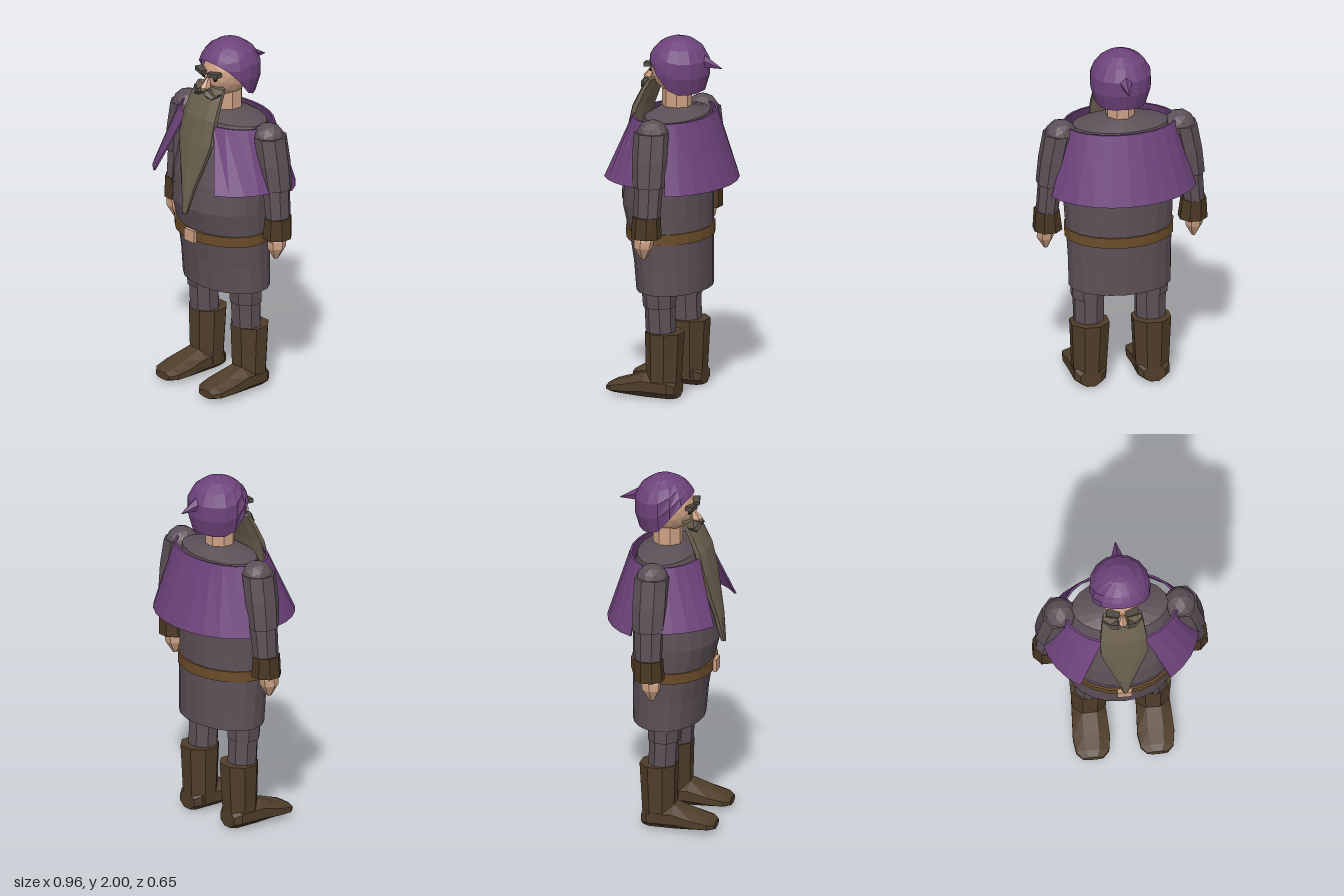
import * as THREE from 'three';

const mat = (name, color) => {
  const m = new THREE.MeshStandardMaterial({ color, flatShading: true, side: THREE.DoubleSide });
  m.name = name;
  return m;
};

// Closed loop of points around an axis; a and b are the half extents
function ring(axis, x, y, z, a, b, n = 8, half = true) {
  const k = half ? 1 / Math.cos(Math.PI / n) : 1;
  return Array.from({ length: n }, (_, i) => {
    const t = ((i + (half ? 0.5 : 0)) / n) * Math.PI * 2;
    const s = Math.sin(t) * k, c = Math.cos(t) * k;
    if (axis === 'y') return [x + a * s, y, z + b * c];
    if (axis === 'z') return [x - a * s, y + b * c, z];
    return [x, y + a * c, z + b * s];
  });
}

// Skin a list of equal loops, with optional end caps
function loft(rings, caps = true) {
  const n = rings[0].length, pos = rings.flat(2), idx = [];
  for (let i = 0; i < rings.length - 1; i++)
    for (let j = 0; j < n; j++) {
      const p = i * n + j, q = i * n + ((j + 1) % n);
      idx.push(p, q, q + n, p, q + n, p + n);
    }
  if (caps) {
    const e = (rings.length - 1) * n;
    for (let j = 1; j < n - 1; j++) idx.push(0, j + 1, j, e, e + j, e + j + 1);
  }
  const g = new THREE.BufferGeometry();
  g.setAttribute('position', new THREE.Float32BufferAttribute(pos, 3));
  g.setIndex(idx);
  const flat = g.toNonIndexed();
  flat.computeVertexNormals();
  return flat;
}

// Vertical loft from rows of [y, half width, front z, back z]
const upright = (rows, n, half = false, x = 0) =>
  loft(rows.map(([y, rx, f, b]) => ring('y', x, y, (f + b) / 2, rx, (f - b) / 2, n, half)));

// Limb from rows of [x, y, z, half width, half depth], bottom to top
const limb = (s, rows, n = 8) => loft(rows.map(([x, y, z, a, b]) => ring('y', s * x, y, z, a, b, n)));

// Curved, flared cloth slab; angles in degrees measured from the front
function cape(topRange, lowRange, top, low, steps) {
  const sections = [];
  for (let i = 0; i <= steps; i++) {
    const at = (r) => THREE.MathUtils.degToRad(r[0] + ((r[1] - r[0]) * i) / steps);
    const p = ([rx, y, rz], a, d) => [(rx - d) * Math.sin(a), y, (rz - d) * Math.cos(a)];
    const a = at(topRange), b = at(lowRange);
    sections.push([p(top, a, 0), p(low, b, 0), p(low, b, 0.012), p(top, a, 0.012)]);
  }
  return loft(sections);
}

// Hood: sphere-like shell whose lower edge rises over the face
function hoodGeometry() {
  const edge = [1.9, 1.893, 1.865, 1.8, 1.72, 1.695, 1.695, 1.7, 1.705];
  const n = 16, rows = 5, rings = [];
  for (let k = 0; k <= rows; k++) {
    rings.push(Array.from({ length: n }, (_, j) => {
      const a = (j / n) * Math.PI * 2;
      const e = edge[Math.min(j, n - j)];
      const y = e + (2 - e) * Math.sin((k / rows) * Math.PI / 2);
      const d = y - 1.84;
      const r = d > 0 ? 0.172 * Math.sqrt(Math.max(0, 1 - (d / 0.16) ** 2)) : 0.172 * (1 - 9 * d * d);
      return [r * Math.sin(a), y, -0.02 + r * Math.cos(a)];
    }));
  }
  return loft(rings, false);
}

export function createModel() {
  const model = new THREE.Group();
  model.name = 'beardedFigure';
  const cloth = mat('greyCloth', 0x5c5057);
  const purple = mat('purpleCloth', 0x6e437b);
  const boot = mat('bootLeather', 0x4f3d2a);
  const cuffBrown = mat('cuffLeather', 0x4a3722);
  const leather = mat('beltLeather', 0x6c4d2a);
  const skin = mat('skin', 0xcda084);
  const hair = mat('beardHair', 0x6a5f4e);
  const darkHair = mat('browHair', 0x4f4a40);
  const black = mat('eyeBlack', 0x15120f);

  const add = (name, geometry, material, x = 0, y = 0, z = 0) => {
    const m = new THREE.Mesh(geometry, material);
    m.name = name;
    m.position.set(x, y, z);
    model.add(m);
    return m;
  };

  // Tunic and belt
  add('tunic', upright([
    [0.59, 0.285, 0.2, -0.19], [0.75, 0.287, 0.215, -0.19], [0.9, 0.295, 0.24, -0.19],
    [0.95, 0.298, 0.255, -0.19], [1.07, 0.305, 0.285, -0.19], [1.22, 0.302, 0.27, -0.19],
    [1.4, 0.29, 0.22, -0.185], [1.5, 0.28, 0.18, -0.18], [1.565, 0.265, 0.15, -0.165],
    [1.61, 0.08, 0.075, -0.085],
  ], 20), cloth);
  add('belt', upright([[0.88, 0.303, 0.262, -0.2], [0.94, 0.305, 0.266, -0.2]], 20), leather);
  add('buckle', new THREE.BoxGeometry(0.08, 0.07, 0.02), skin, 0, 0.91, 0.27);

  // Cape: back piece and two front panels
  add('backCape', cape([110, 250], [110, 250], [0.315, 1.57, 0.205], [0.43, 1.19, 0.33], 10), purple);
  add('leftFrontCape', cape([22, 76], [35, 82], [0.315, 1.57, 0.22], [0.435, 1.23, 0.39], 4), purple);
  add('rightFrontCape', cape([-76, -22], [-82, -35], [0.315, 1.57, 0.22], [0.435, 1.23, 0.39], 4), purple);

  // Head, hood and nose
  add('neck', limb(1, [[0, 1.56, -0.005, 0.075, 0.077], [0, 1.74, -0.005, 0.075, 0.077]]), skin);
  const head = new THREE.IcosahedronGeometry(1, 2);
  head.scale(0.123, 0.14, 0.143);
  add('head', head, skin, 0, 1.82, 0);
  add('hood', hoodGeometry(), purple);
  add('hoodPoint', loft([
    ring('z', 0, 1.84, -0.275, 0.002, 0.002, 5, false),
    ring('z', 0, 1.865, -0.19, 0.03, 0.03, 5, false),
    ring('z', 0, 1.88, -0.13, 0.05, 0.05, 5, false),
  ]), purple);
  add('nose', loft([
    ring('y', 0, 1.735, 0.155, 0.018, 0.03, 6, false),
    ring('y', 0, 1.76, 0.16, 0.026, 0.036, 6, false),
    ring('y', 0, 1.81, 0.138, 0.007, 0.012, 6, false),
  ]), skin);

  // Beard and moustache
  add('beard', upright([
    [1.05, 0.015, 0.325, 0.295], [1.21, 0.055, 0.312, 0.25], [1.32, 0.092, 0.292, 0.22],
    [1.46, 0.135, 0.268, 0.185], [1.6, 0.133, 0.235, 0.15], [1.7, 0.122, 0.185, 0.11],
    [1.76, 0.11, 0.142, 0.085],
  ], 10), hair);
  add('moustache', loft([[-0.105, 1.735, 0.005], [-0.07, 1.708, 0.017], [-0.03, 1.73, 0.021], [0, 1.74, 0.01],
    [0.03, 1.73, 0.021], [0.07, 1.708, 0.017], [0.105, 1.735, 0.005]]
    .map(([x, y, r]) => ring('x', x, y, 0.17 - Math.abs(x) * 0.25, r, r * 1.4, 6))), darkHair);

  for (const s of [1, -1]) {
    const side = s > 0 ? 'left' : 'right';

    // Face details
    add(side + 'Eye', new THREE.IcosahedronGeometry(0.011, 1), black, s * 0.047, 1.805, 0.129);
    const brow = add(side + 'Brow', new THREE.BoxGeometry(0.072, 0.024, 0.04), darkHair, s * 0.053, 1.838, 0.142);
    brow.rotation.set(0, s * 0.2, s * 0.1);

    // Arm
    add(side + 'Shoulder', new THREE.IcosahedronGeometry(0.092, 1), cloth, s * 0.33, 1.51, -0.008);
    add(side + 'UpperArm', limb(s, [
      [0.395, 1.235, -0.013, 0.07, 0.085], [0.375, 1.38, -0.01, 0.075, 0.092],
      [0.345, 1.53, -0.008, 0.078, 0.09]]), cloth);
    add(side + 'Forearm', limb(s, [
      [0.41, 1.05, -0.01, 0.056, 0.07], [0.39, 1.25, -0.012, 0.063, 0.076]]), cloth);
    add(side + 'Cuff', limb(s, [
      [0.405, 0.95, -0.005, 0.077, 0.078], [0.41, 1.07, -0.008, 0.066, 0.074]]), cuffBrown);
    add(side + 'Hand', limb(s, [
      [0.412, 0.83, 0.01, 0.01, 0.012], [0.415, 0.895, 0.008, 0.041, 0.046],
      [0.415, 0.935, 0.005, 0.04, 0.05], [0.412, 0.97, 0, 0.025, 0.03]], 6), skin);

    // Leg
    add(side + 'Thigh', limb(s, [
      [0.175, 0.51, 0.02, 0.088, 0.083], [0.175, 0.68, 0.025, 0.098, 0.09]]), cloth);
    add(side + 'Shin', limb(s, [
      [0.172, 0.3, 0.01, 0.08, 0.075], [0.172, 0.53, 0.02, 0.082, 0.077]]), cloth);

    // Boot
    add(side + 'BootShaft', limb(s, [
      [0.174, 0.05, -0.005, 0.09, 0.088], [0.172, 0.37, -0.01, 0.105, 0.1]]), boot);
    add(side + 'BootFoot', loft([
      [-0.095, 0.06, 0.1, 0.006], [-0.06, 0.088, 0.13, 0], [0.085, 0.096, 0.14, 0],
      [0.2, 0.102, 0.1, 0.005], [0.28, 0.09, 0.075, 0.008], [0.315, 0.056, 0.055, 0.014],
    ].map(([z, w, top, low]) => ring('z', s * 0.177, (top + low) / 2, z, w, (top - low) / 2))), boot);
  }
  return model;
}
